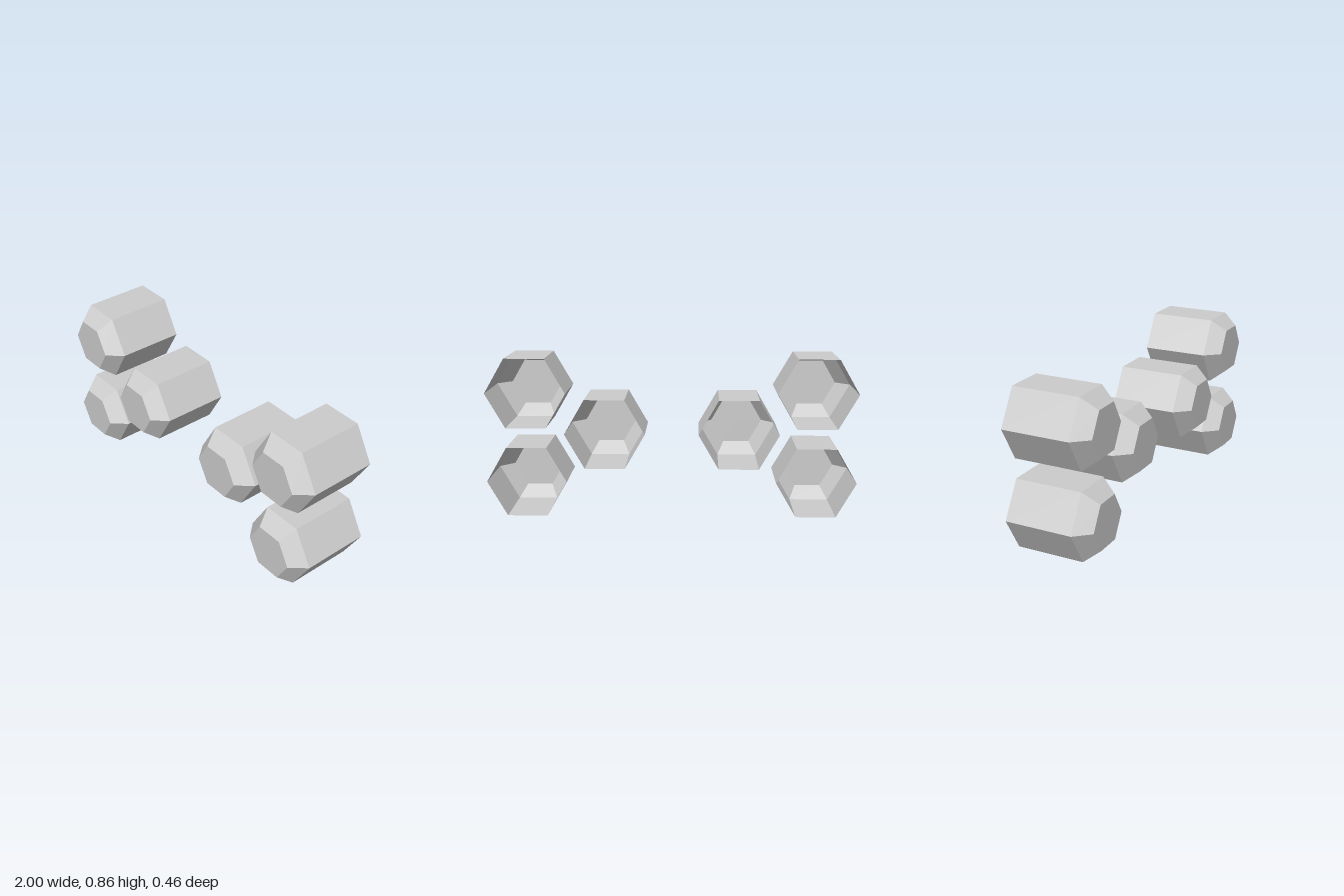
import * as THREE from 'three';

export function createModel() {
  const model = new THREE.Group();
  model.name = 'hexagonalTubeCluster';

  const material = new THREE.MeshStandardMaterial({
    color: 0xcccccc, flatShading: true, side: THREE.DoubleSide,
  });

  // Thin hexagonal shell: open back, straight wall, chamfer and flat front cap
  const radius = 0.217, capRadius = 0.144, depth = 0.228, chamferZ = 0.144;
  const profile = [
    [radius, -depth], [radius, chamferZ], [capRadius, depth], [0, depth],
  ].map(([r, z]) => new THREE.Vector2(r, z));
  const tube = new THREE.LatheGeometry(profile, 6, Math.PI / 2);
  tube.rotateX(Math.PI / 2);

  // Two mirrored triangles of three tubes each
  const placements = [
    ['upperLeftTube', 0.783, 0.674],
    ['lowerLeftTube', 0.783, 0.19],
    ['innerLeftTube', 0.359, 0.453],
    ['upperRightTube', -0.783, 0.674],
    ['lowerRightTube', -0.783, 0.19],
    ['innerRightTube', -0.364, 0.453],
  ];
  for (const [name, x, y] of placements) {
    const mesh = new THREE.Mesh(tube, material);
    mesh.name = name;
    mesh.position.set(x, y, 0);
    model.add(mesh);
  }
  return model;
}
